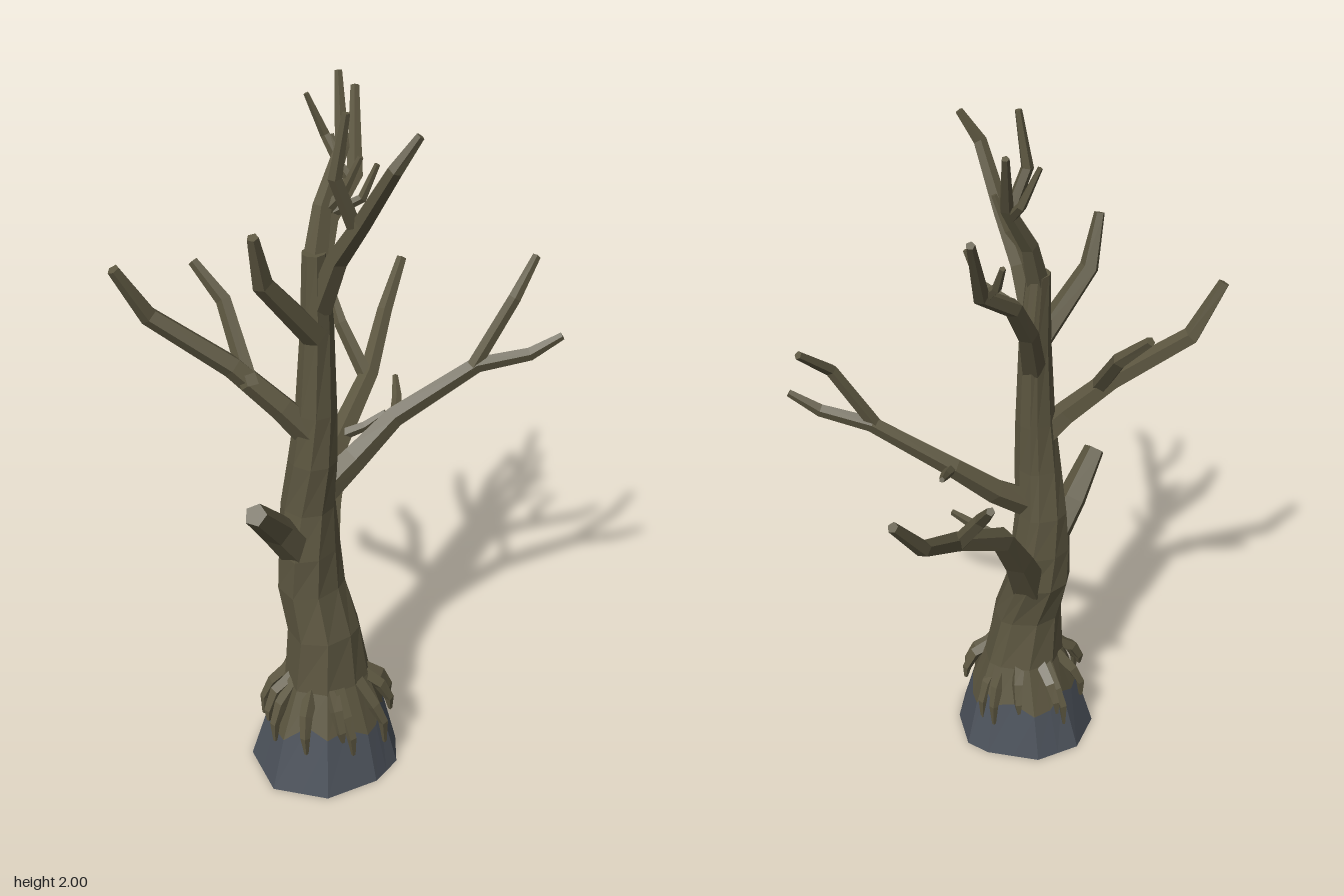
import * as THREE from 'three';

// Plan of the foot: ten corners [x, z], counter-clockwise seen from above
const FOOT = [[-0.11, 0.475], [0.05, 0.45], [0.15, 0.33], [0.172, 0.23], [0.13, 0.135],
  [0.035, 0.045], [-0.04, 0.045], [-0.19, 0.105], [-0.26, 0.225], [-0.235, 0.36]];
const CX = -0.04, CZ = 0.26, R = 0.215;

// Skin between closed rings of points, with optional flat end
function loft(rings, cap) {
  const pos = [];
  const tri = (a, b, c) => pos.push(...a.toArray(), ...b.toArray(), ...c.toArray());
  for (let i = 0; i < rings.length - 1; i++) {
    const lo = rings[i], hi = rings[i + 1], n = lo.length;
    for (let j = 0; j < n; j++) {
      const k = (j + 1) % n;
      tri(lo[j], lo[k], hi[k]);
      tri(lo[j], hi[k], hi[j]);
    }
  }
  if (cap) {
    const end = rings[rings.length - 1];
    for (let j = 1; j < end.length - 1; j++) tri(end[0], end[j], end[j + 1]);
  }
  const g = new THREE.BufferGeometry();
  g.setAttribute('position', new THREE.Float32BufferAttribute(pos, 3));
  g.computeVertexNormals();
  return g;
}

// Tapered limb along points [x, y, z, radius]
function limb(path, sides = 5) {
  const pts = path.map(p => new THREE.Vector3(p[0], p[1], p[2]));
  const u = new THREE.Vector3(0.3, 0.2, 1);
  const rings = pts.map((p, i) => {
    const t = pts[Math.min(i + 1, pts.length - 1)].clone().sub(pts[Math.max(i - 1, 0)]).normalize();
    u.addScaledVector(t, -u.dot(t)).normalize();
    const v = t.clone().cross(u);
    return Array.from({ length: sides }, (_, j) => {
      const a = j / sides * Math.PI * 2;
      return p.clone().addScaledVector(u, Math.cos(a) * path[i][3]).addScaledVector(v, Math.sin(a) * path[i][3]);
    });
  });
  return loft(rings, true);
}

// Horizontal trunk ring shaped like the foot, slightly twisted
function trunkRing([y, cx, cz, rx, rz], twist) {
  const c = Math.cos(twist), s = Math.sin(twist);
  return FOOT.map(([x, z]) => {
    const a = (x - CX) / R, b = (z - CZ) / R;
    return new THREE.Vector3(cx + rx * (a * c + b * s), y, cz + rz * (b * c - a * s));
  });
}

// Doubles the corners of a ring by adding edge midpoints
const split = ring => ring.flatMap((p, i) => [p, p.clone().lerp(ring[(i + 1) % ring.length], 0.5)]);

export function createModel() {
  const bark = new THREE.MeshStandardMaterial({ color: 0x5c5640 });
  const stone = new THREE.MeshStandardMaterial({ color: 0x4d535c, side: THREE.DoubleSide });
  bark.flatShading = stone.flatShading = true;
  bark.side = THREE.DoubleSide;
  const model = new THREE.Group();
  const add = (name, geometry, material = bark) => {
    const m = new THREE.Mesh(geometry, material);
    m.name = name;
    model.add(m);
  };

  // Trunk rings: y, centre x, centre z, radius x, radius z
  const trunk = [
    [0.3, -0.035, 0.25, 0.118, 0.13], [0.46, -0.042, 0.255, 0.1, 0.107],
    [0.6, -0.08, 0.25, 0.092, 0.102], [0.72, -0.085, 0.25, 0.084, 0.096],
    [0.85, -0.085, 0.245, 0.075, 0.072], [1.0, -0.065, 0.25, 0.068, 0.063],
    [1.15, -0.055, 0.245, 0.056, 0.058], [1.4, -0.05, 0.24, 0.042, 0.052],
    [1.6, -0.05, 0.25, 0.032, 0.036],
  ].map((r, i) => trunkRing(r, i * 0.12));
  add('trunk', loft(trunk, true));

  // Flared foot: grey below a jagged line, bark above it
  const bottom = split(FOOT.map(([x, z]) => new THREE.Vector3(x, 0, z)));
  const top = split(trunk[0]);
  const jag = bottom.map((p, i) => {
    const q = p.clone().lerp(top[i], [0.52, 0.68, 0.58, 0.62, 0.5][i % 5]);
    const bulge = 1.05;
    return q.set(CX + (q.x - CX) * bulge, q.y, CZ + (q.z - CZ) * bulge);
  });
  add('base', loft([bottom, jag]), stone);
  add('rootCollar', loft([jag, top]));

  // Main boughs with their forks and twigs
  const limbs = {
    frontStub: [[-0.09, 0.7, 0.27, 0.06], [-0.12, 0.83, 0.37, 0.045], [-0.125, 0.945, 0.48, 0.032]],
    backBough: [[-0.08, 0.6, 0.2, 0.06], [-0.1, 0.76, 0.1, 0.045], [-0.11, 0.9, 0, 0.036],
      [-0.1, 1.02, -0.21, 0.028], [-0.13, 1.13, -0.4, 0.023], [-0.12, 1.26, -0.51, 0.015]],
    backFork: [[-0.1, 1.01, -0.2, 0.024], [-0.2, 1.15, -0.24, 0.02], [-0.265, 1.24, -0.3, 0.012]],
    backTwig: [[-0.1, 0.92, -0.02, 0.018], [-0.04, 0.95, -0.04, 0.015], [0.01, 0.99, -0.07, 0.009]],
    leftBough: [[-0.06, 0.88, 0.22, 0.045], [0.0, 0.95, 0.13, 0.038], [0.08, 1.05, 0.04, 0.03],
      [0.27, 1.19, -0.08, 0.023], [0.4, 1.22, -0.14, 0.019], [0.475, 1.27, -0.18, 0.011]],
    leftFork: [[0.26, 1.18, -0.07, 0.02], [0.345, 1.37, -0.15, 0.018], [0.37, 1.455, -0.25, 0.012]],
    leftTwig: [[0.08, 1.05, 0.03, 0.016], [0.06, 1.07, -0.03, 0.014], [0.03, 1.1, -0.09, 0.008]],
    rightBough: [[-0.06, 1.08, 0.26, 0.045], [-0.13, 1.17, 0.3, 0.036], [-0.24, 1.29, 0.35, 0.031],
      [-0.42, 1.44, 0.44, 0.026], [-0.47, 1.585, 0.505, 0.016]],
    rightFork: [[-0.19, 1.24, 0.35, 0.026], [-0.31, 1.42, 0.25, 0.022], [-0.4, 1.51, 0.24, 0.014]],
    frontBough: [[-0.045, 1.38, 0.27, 0.036], [-0.115, 1.57, 0.41, 0.028], [-0.11, 1.71, 0.46, 0.015]],
    upperBackBough: [[-0.06, 1.33, 0.22, 0.036], [-0.09, 1.48, 0.14, 0.03], [-0.1, 1.6, 0.05, 0.026],
      [-0.08, 1.68, -0.07, 0.023], [-0.13, 1.88, -0.19, 0.012]],
    upperBackTwigA: [[-0.08, 1.67, -0.05, 0.015], [-0.12, 1.71, -0.06, 0.013], [-0.15, 1.78, -0.08, 0.008]],
    upperBackTwigB: [[-0.09, 1.62, 0.04, 0.015], [-0.02, 1.66, 0.02, 0.013], [0.015, 1.75, 0.005, 0.008]],
    crownLeft: [[-0.04, 1.45, 0.25, 0.036], [0.02, 1.6, 0.27, 0.029], [0.1, 1.72, 0.3, 0.024],
      [0.2, 1.88, 0.345, 0.019], [0.25, 1.96, 0.32, 0.011]],
    crownLeftFork: [[0.08, 1.69, 0.29, 0.02], [0.05, 1.84, 0.345, 0.018], [0.075, 1.995, 0.335, 0.01]],
    crownLeader: [[-0.05, 1.56, 0.25, 0.034], [-0.05, 1.7, 0.2, 0.025], [-0.03, 1.83, 0.12, 0.019],
      [-0.07, 1.995, 0.05, 0.01]],
    crownTwigA: [[-0.035, 1.8, 0.135, 0.015], [-0.08, 1.85, 0.11, 0.013], [-0.12, 1.955, 0.13, 0.007]],
    crownTwigB: [[-0.05, 1.68, 0.2, 0.016], [0.0, 1.74, 0.18, 0.013], [0.04, 1.83, 0.17, 0.008]],
  };
  for (const [name, path] of Object.entries(limbs)) add(name, limb(path));

  // Roots gripping the foot, in loosely spaced pairs
  for (let i = 0; i < 14; i++) {
    const a = i / 14 * Math.PI * 2 + 0.16 * Math.sin(i * 2.3);
    const drop = 0.045 * Math.sin(i * 1.7);
    const at = (r, y, radius, turn = 0) =>
      [-0.038 + Math.sin(a + turn) * r, y, 0.255 + Math.cos(a + turn) * r, radius];
    add('root', limb([at(0.1, 0.3, 0.022), at(0.155, 0.245 + drop / 2, 0.019, 0.04),
      at(0.182, 0.19 + drop / 2, 0.014, 0.08), at(0.185, 0.135 + drop, 0.006, 0.1)], 4));
  }
  return model;
}
